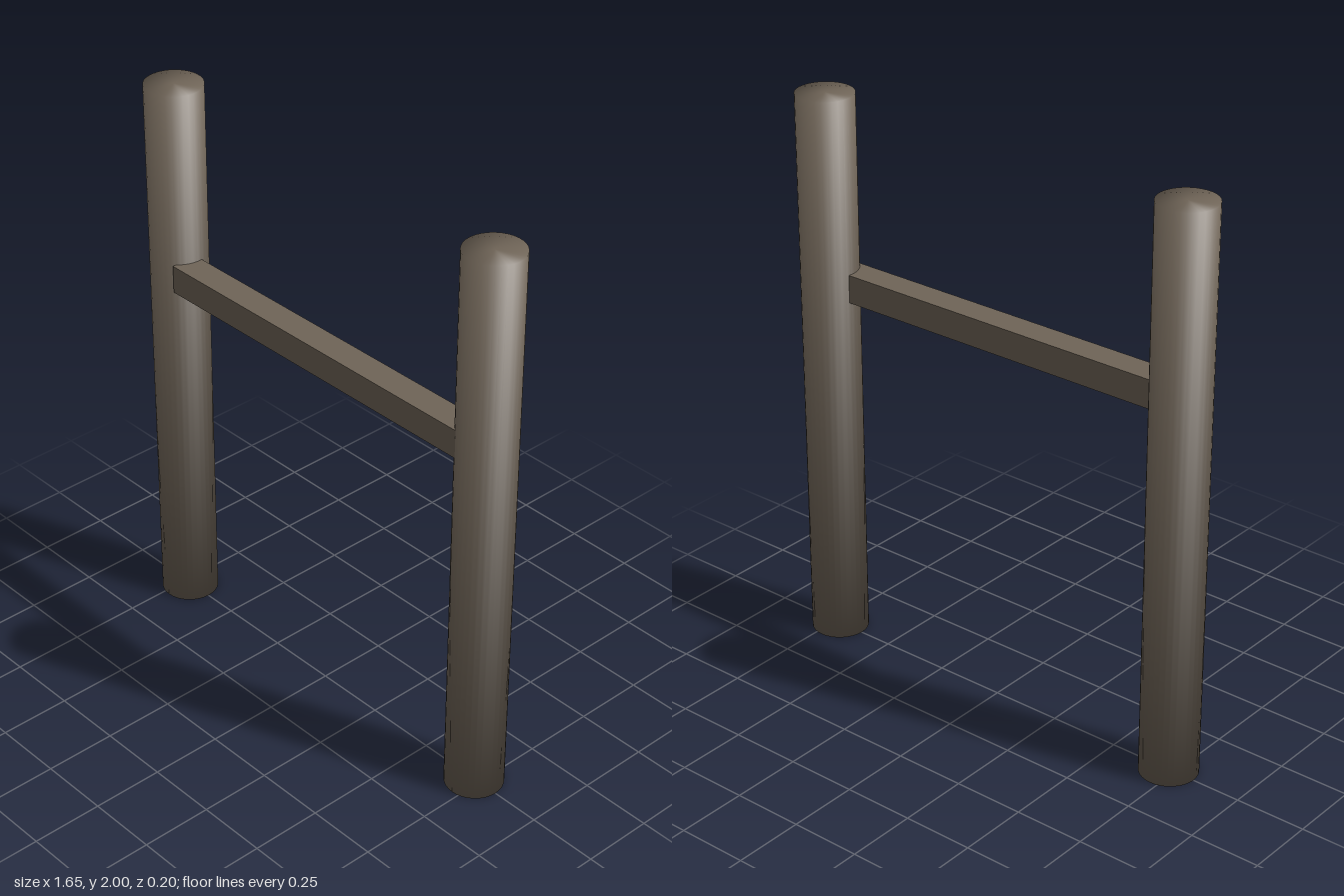
import * as THREE from 'three';

const POST_X = 0.725, POST_R = 0.1, HEIGHT = 2;

// Post whose rim normals blend softly from the side into the end caps
function postGeometry() {
  const geo = new THREE.CylinderGeometry(POST_R, POST_R, HEIGHT, 32);
  geo.translate(0, HEIGHT / 2, 0);
  const pos = geo.attributes.position, normal = geo.attributes.normal;
  const n = new THREE.Vector3();
  for (let i = 0; i < pos.count; i++) {
    const end = pos.getY(i) > HEIGHT / 2 ? 1 : -1;
    n.set(pos.getX(i), end * POST_R, pos.getZ(i)).normalize();
    normal.setXYZ(i, n.x, n.y, n.z);
  }
  return geo;
}

export function createModel() {
  const group = new THREE.Group();
  group.name = 'railFrame';
  const wood = new THREE.MeshStandardMaterial({ color: 0x6f6457 });
  wood.name = 'weathered wood';

  // Two round upright posts
  const geo = postGeometry();
  for (const side of [-1, 1]) {
    const post = new THREE.Mesh(geo, wood);
    post.name = side > 0 ? 'leftPost' : 'rightPost';
    post.position.x = side * POST_X;
    group.add(post);
  }

  // Square crossbar, set slightly forward of the post centres
  const x0 = -0.655, x1 = 0.7;
  const bar = new THREE.Mesh(new THREE.BoxGeometry(x1 - x0, 0.1, 0.1), wood);
  bar.name = 'crossbar';
  bar.position.set((x0 + x1) / 2, 1.335, 0.035);
  group.add(bar);

  return group;
}
